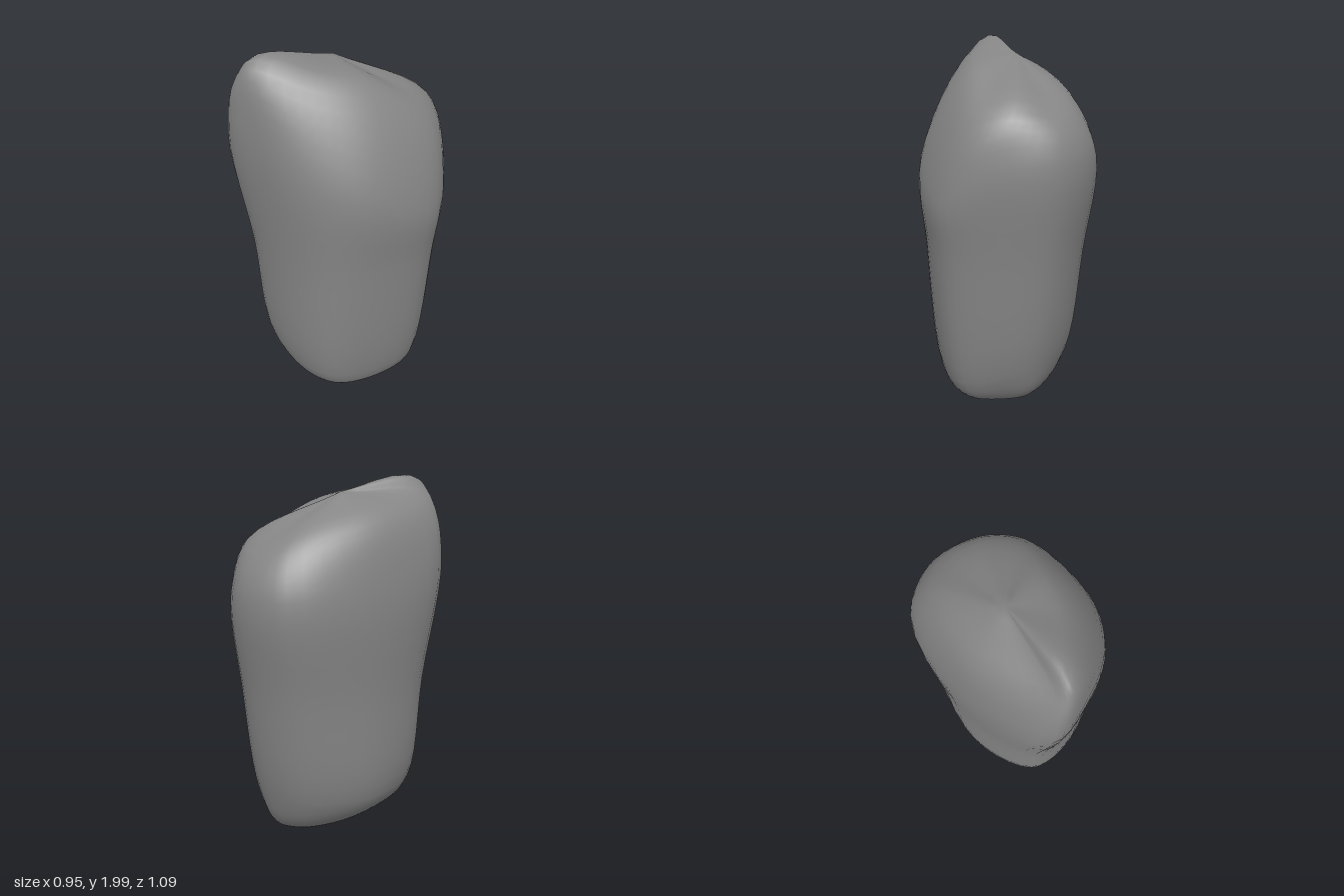
import * as THREE from 'three';

const COLUMNS = 45;
const ROWS = 36;

// Key loops of the stone, each running from the front-left edge round by +x to the back.
const sole = [
  [-0.25, 0.14, 0.29], [-0.06, 0.055, 0.34], [0.13, 0.055, 0.32],
  [0.24, 0.045, 0.15], [0.28, 0.05, -0.07], [0.17, 0.04, -0.17],
  [0.04, 0.07, -0.28], [-0.12, 0.09, -0.22], [-0.25, 0.12, 0.00],
];
const foot = [
  [-0.35, 0.30, 0.36], [-0.12, 0.21, 0.44], [0.14, 0.18, 0.40],
  [0.285, 0.16, 0.20], [0.36, 0.17, -0.07], [0.23, 0.22, -0.26],
  [0.05, 0.30, -0.385], [-0.20, 0.30, -0.32], [-0.39, 0.29, -0.01],
];
const waist = [
  [-0.395, 0.9, 0.405], [-0.15, 0.9, 0.49], [0.16, 0.9, 0.435],
  [0.345, 0.9, 0.24], [0.445, 0.9, -0.08], [0.28, 0.9, -0.33],
  [0.05, 0.9, -0.48], [-0.24, 0.9, -0.40], [-0.43, 0.9, -0.02],
];
const shoulder = [
  [-0.415, 1.58, 0.505], [-0.15, 1.62, 0.53], [0.15, 1.47, 0.44],
  [0.36, 1.36, 0.25], [0.47, 1.22, -0.09], [0.32, 1.40, -0.34],
  [0.05, 1.43, -0.535], [-0.25, 1.43, -0.465], [-0.45, 1.45, 0.00],
];
const crown = [
  [-0.345, 1.88, 0.45], [-0.265, 1.975, 0.46], [0.00, 1.90, 0.29],
  [0.17, 1.83, 0.08], [0.31, 1.67, -0.17], [0.20, 1.68, -0.34],
  [0.02, 1.64, -0.44], [-0.18, 1.69, -0.36], [-0.36, 1.78, 0.00],
];
const basePoint = new THREE.Vector3(0.06, 0, 0.03);
const topPoint = new THREE.Vector3(-0.12, 1.922, 0.03);

// Smooth closed loop through the key points.
function smoothLoop(points) {
  const curve = new THREE.CatmullRomCurve3(points.map((p) => new THREE.Vector3(...p)), true);
  return Array.from({ length: COLUMNS }, (_, i) => curve.getPoint(i / COLUMNS));
}

function stoneGeometry() {
  const loops = [sole, foot, waist, shoulder, crown].map(smoothLoop);

  // Each column is a curve from the base point, up the side and over to the top point.
  const columns = Array.from({ length: COLUMNS }, (_, i) =>
    new THREE.CatmullRomCurve3([basePoint, ...loops.map((loop) => loop[i]), topPoint]).getPoints(ROWS));

  const positions = [...basePoint.toArray()];
  for (let r = 1; r < ROWS; r++) {
    for (let c = 0; c < COLUMNS; c++) positions.push(...columns[c][r].toArray());
  }
  positions.push(...topPoint.toArray());

  const last = positions.length / 3 - 1;
  const at = (r, c) => 1 + (r - 1) * COLUMNS + (c % COLUMNS);
  const index = [];
  for (let c = 0; c < COLUMNS; c++) {
    index.push(0, at(1, c + 1), at(1, c));
    for (let r = 1; r < ROWS - 1; r++) {
      index.push(at(r, c), at(r, c + 1), at(r + 1, c + 1));
      index.push(at(r, c), at(r + 1, c + 1), at(r + 1, c));
    }
    index.push(at(ROWS - 1, c), at(ROWS - 1, c + 1), last);
  }

  const geometry = new THREE.BufferGeometry();
  geometry.setAttribute('position', new THREE.Float32BufferAttribute(positions, 3));
  geometry.setIndex(index);
  geometry.computeVertexNormals();
  return geometry;
}

export function createModel() {
  const group = new THREE.Group();
  group.name = 'standingStone';
  const stone = new THREE.Mesh(stoneGeometry(), new THREE.MeshStandardMaterial({ color: 0x858585 }));
  stone.name = 'stone';
  group.add(stone);
  return group;
}
